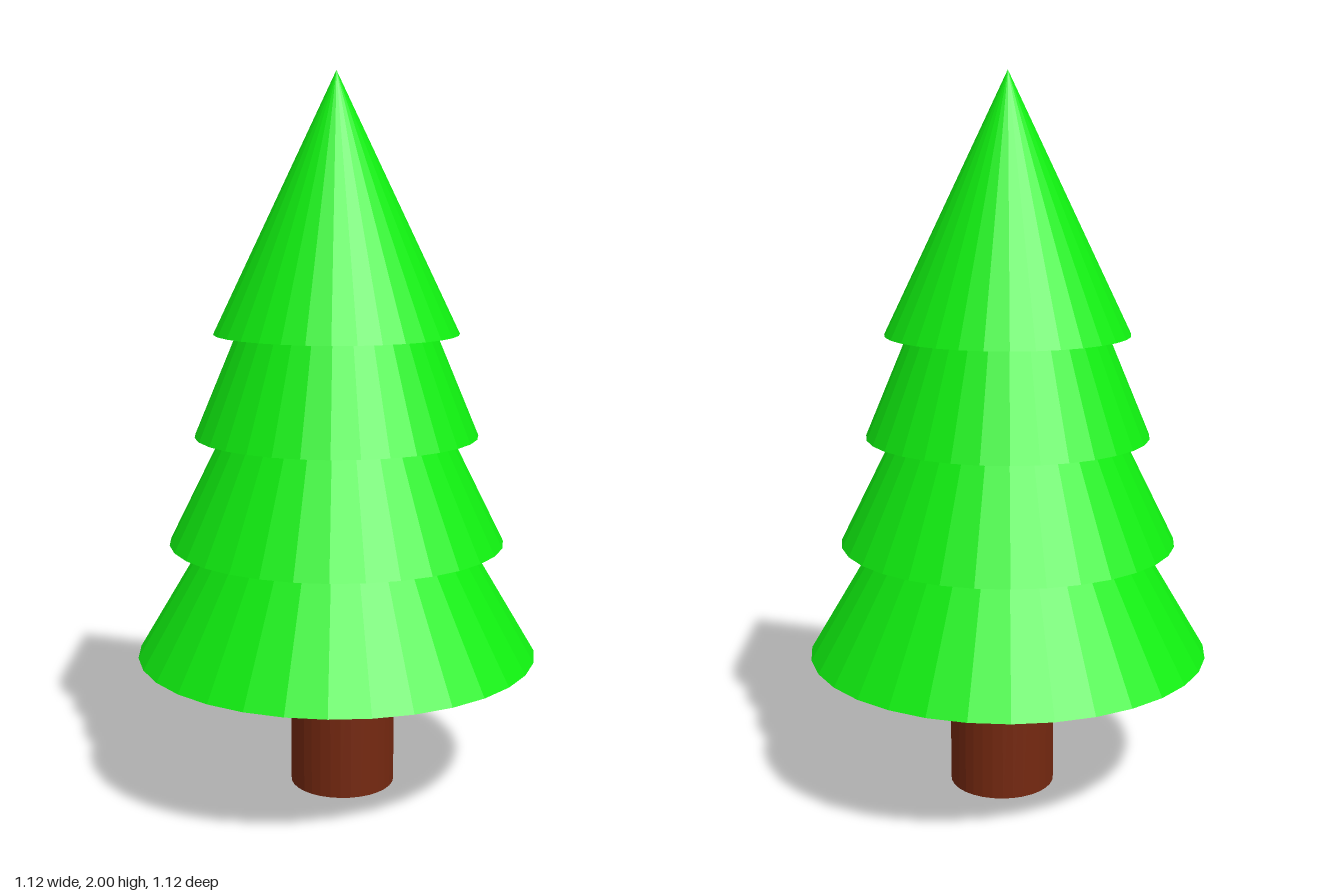
import * as THREE from 'three';

const SIDES = 32;
const TURN = THREE.MathUtils.degToRad(-4.1);

export function createModel() {
  const tree = new THREE.Group();
  tree.name = 'pineTree';
  const leaf = new THREE.MeshStandardMaterial({ color: 0x10f010, flatShading: true });
  const bark = new THREE.MeshStandardMaterial({ color: 0x742810, flatShading: true });

  // Trunk, slightly off centre and reaching into the lowest tier
  const trunkHeight = 0.5;
  const trunk = new THREE.Mesh(
    new THREE.CylinderGeometry(0.148, 0.148, trunkHeight, SIDES, 1, false, TURN), bark);
  trunk.name = 'trunk';
  trunk.position.set(0.021, trunkHeight / 2, 0);
  tree.add(trunk);

  // Foliage tiers, bottom to top: [name, base radius, base y, apex y]
  const tiers = [
    ['lowestTier', 0.561, 0.395, 1.34],
    ['lowerTier', 0.468, 0.715, 1.655],
    ['upperTier', 0.394, 1.015, 1.955],
    ['topTier', 0.339, 1.297, 2.0],
  ];
  for (const [name, radius, base, apex] of tiers) {
    const tier = new THREE.Mesh(
      new THREE.ConeGeometry(radius, apex - base, SIDES, 1, false, TURN), leaf);
    tier.name = name;
    tier.position.y = (base + apex) / 2;
    tree.add(tier);
  }
  return tree;
}
